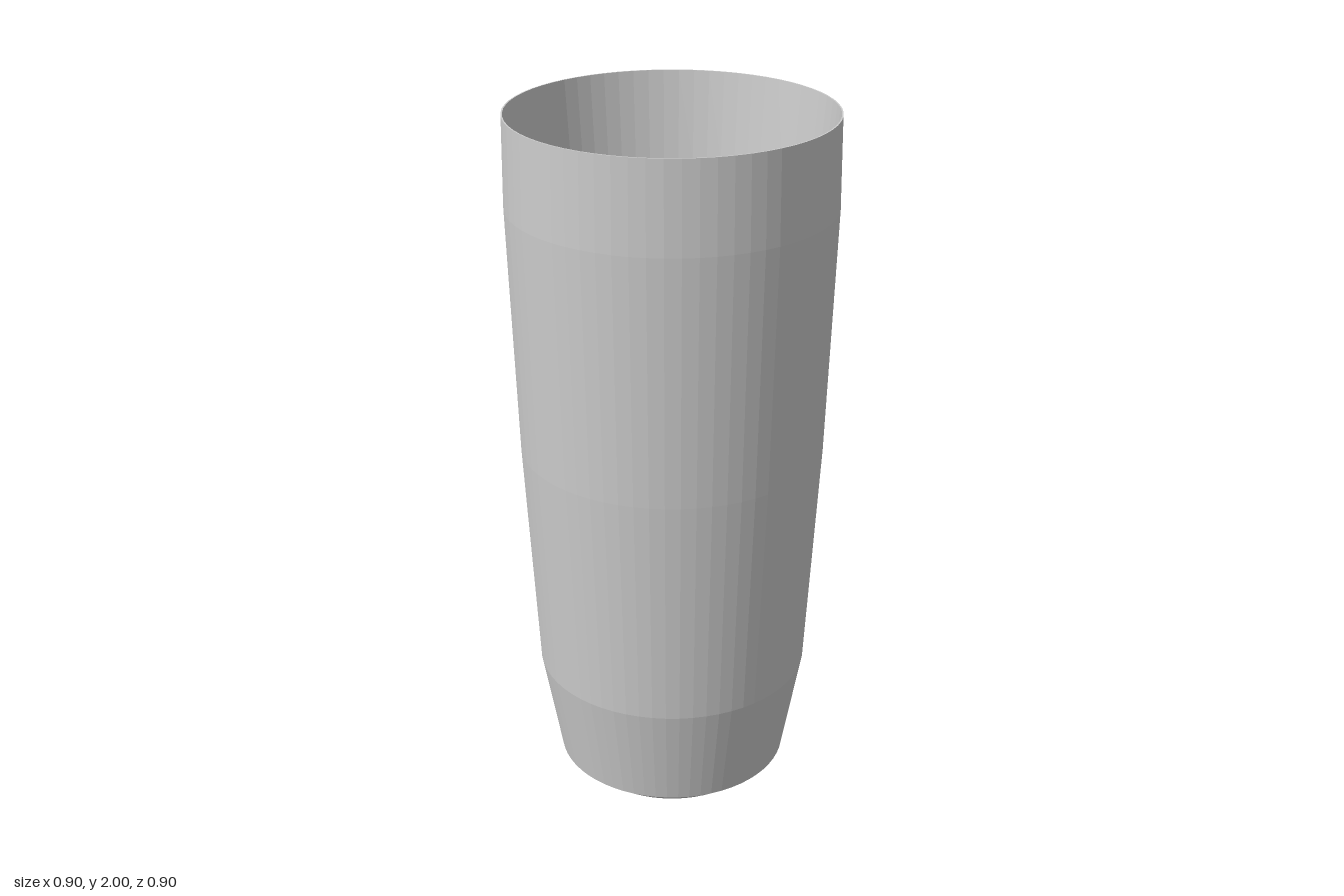
import * as THREE from 'three';

const SEGMENTS = 64;

// Turned shell from [radius, height] points, with plain facets
function turned(points, adjust) {
  const profile = points.map(([r, y]) => new THREE.Vector2(r, y));
  const lathe = new THREE.LatheGeometry(profile, SEGMENTS);
  if (adjust) adjust(lathe.attributes.position, profile.length);
  const flat = lathe.toNonIndexed();
  flat.computeVertexNormals();
  return flat;
}

export function createModel() {
  const group = new THREE.Group();
  group.name = 'tumbler';
  const grey = new THREE.MeshStandardMaterial({ color: 0xcccccc });
  grey.name = 'grey';

  const add = (name, geometry) => {
    const mesh = new THREE.Mesh(geometry, grey);
    mesh.name = name;
    group.add(mesh);
  };

  // Outer wall, from the shallow base up to the rim
  add('outerWall', turned([
    [0, 0], [0.27, 0.008], [0.335, 0.06], [0.39, 0.37],
    [0.427, 1.05], [0.449, 1.75], [0.446, 2],
  ]));

  // Thin rim and tapering inner wall
  add('innerWall', turned([
    [0.446, 2], [0.442, 2], [0.42, 1.75], [0.402, 1.05], [0.37, 0.37], [0.32, 0.09],
  ]));

  // Fluted lower wall and dished floor: every other floor corner is pulled in
  add('flutedFloor', turned([[0.32, 0.09], [0.237, 0.035], [0, 0.02]], (position, rows) => {
    for (let i = 0; i <= SEGMENTS; i += 2) {
      const k = i * rows + 1;
      const s = 0.21 / 0.237;
      position.setX(k, position.getX(k) * s);
      position.setZ(k, position.getZ(k) * s);
    }
  }));

  return group;
}
